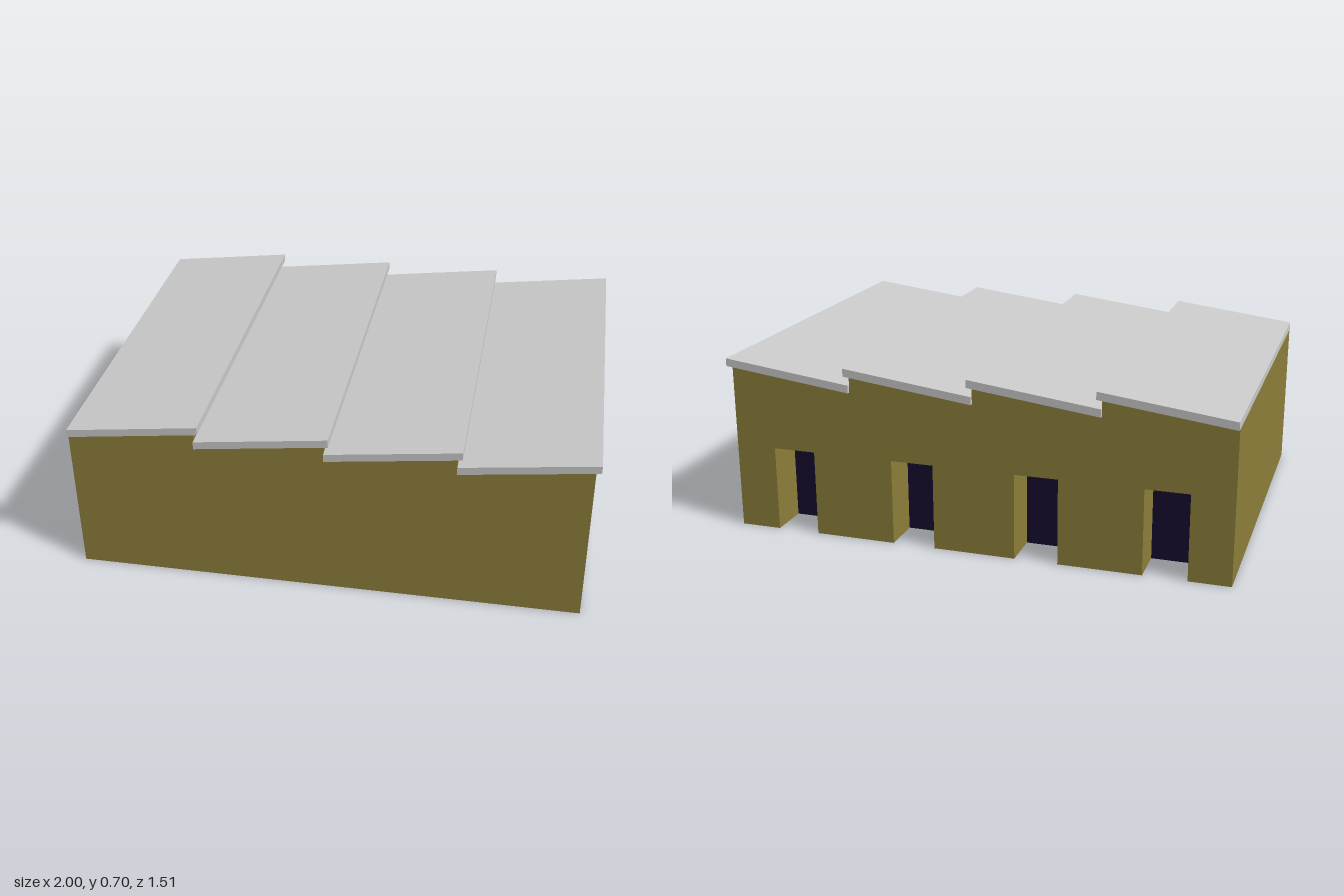
import * as THREE from 'three';

const BAYS = 4, PITCH = 0.4953, X0 = -1;
const EAVE = 0.6, RIDGE = 0.665, DEPTH = 0.743;          // wall heights, half depth
const SLAB_W = 0.514, SLAB_T = 0.031, SLAB_Z = 0.757;    // roof slab
const DOOR_W = 0.17, DOOR_H = 0.34, RECESS = 0.16;

const wallMat = new THREE.MeshStandardMaterial({ color: 0x8d7f3b, side: THREE.DoubleSide });
const doorMat = new THREE.MeshStandardMaterial({ color: 0x170b30, side: THREE.DoubleSide });
const roofMat = new THREE.MeshStandardMaterial({ color: 0xcccccc });

function add(parent, name, geometry, material) {
  const mesh = new THREE.Mesh(geometry, material);
  mesh.name = name;
  parent.add(mesh);
  return mesh;
}

const outline = (points) => new THREE.Shape(points.map(([x, y]) => new THREE.Vector2(x, y)));

// Thin panel facing along x, standing on the ground
function sidePanel(parent, name, depth, height, x, z, facing = 1) {
  const panel = add(parent, name, new THREE.PlaneGeometry(depth, height), wallMat);
  panel.rotation.y = facing * Math.PI / 2;
  panel.position.set(x, height / 2, z);
}

// Recessed doorway in the back wall, open to the ground
function doorway(x) {
  const group = new THREE.Group();
  group.name = 'doorway';
  const zMid = -DEPTH + RECESS / 2;
  for (const s of [-1, 1]) sidePanel(group, 'doorJamb', RECESS, DOOR_H, x + s * DOOR_W / 2, zMid, -s);
  const soffit = add(group, 'doorSoffit', new THREE.PlaneGeometry(DOOR_W, RECESS), wallMat);
  soffit.rotation.x = Math.PI / 2;
  soffit.position.set(x, DOOR_H, zMid);
  const door = add(group, 'door', new THREE.PlaneGeometry(DOOR_W, DOOR_H), doorMat);
  door.rotation.y = Math.PI;
  door.position.set(x, DOOR_H / 2, -DEPTH + RECESS);
  return group;
}

// One bay: gabled front and back walls, side wall, doorway and sloping roof slab
function bay(x) {
  const group = new THREE.Group();
  group.name = 'bay';
  group.position.x = x;
  const top = [[PITCH, 0], [PITCH, RIDGE], [0, EAVE]];
  const d0 = (PITCH - DOOR_W) / 2, d1 = d0 + DOOR_W;

  const front = add(group, 'frontWall', new THREE.ShapeGeometry(outline([[0, 0], ...top])), wallMat);
  front.position.z = DEPTH;

  const notched = outline([[0, 0], [d0, 0], [d0, DOOR_H], [d1, DOOR_H], [d1, 0], ...top]);
  const back = new THREE.ShapeGeometry(notched);
  back.setIndex([...back.index.array].reverse());        // face outwards to the back
  back.attributes.normal.array.forEach((v, i, a) => { a[i] = -v; });
  add(group, 'backWall', back, wallMat).position.z = -DEPTH;

  sidePanel(group, 'sideWall', 2 * DEPTH, RIDGE, PITCH, 0);
  group.add(doorway(PITCH / 2));

  const slab = new THREE.ExtrudeGeometry(
    outline([[0, EAVE], [SLAB_W, RIDGE], [SLAB_W, RIDGE + SLAB_T], [0, EAVE + SLAB_T]]),
    { depth: 2 * SLAB_Z, bevelEnabled: false });
  slab.translate(0, 0, -SLAB_Z);
  add(group, 'roofSlab', slab, roofMat);
  return group;
}

export function createModel() {
  const model = new THREE.Group();
  model.name = 'sawtoothRoofBuilding';
  for (let i = 0; i < BAYS; i++) model.add(bay(X0 + i * PITCH));
  // Closing wall at the low end
  sidePanel(model, 'endWall', 2 * DEPTH, EAVE, X0, 0, -1);
  return model;
}
